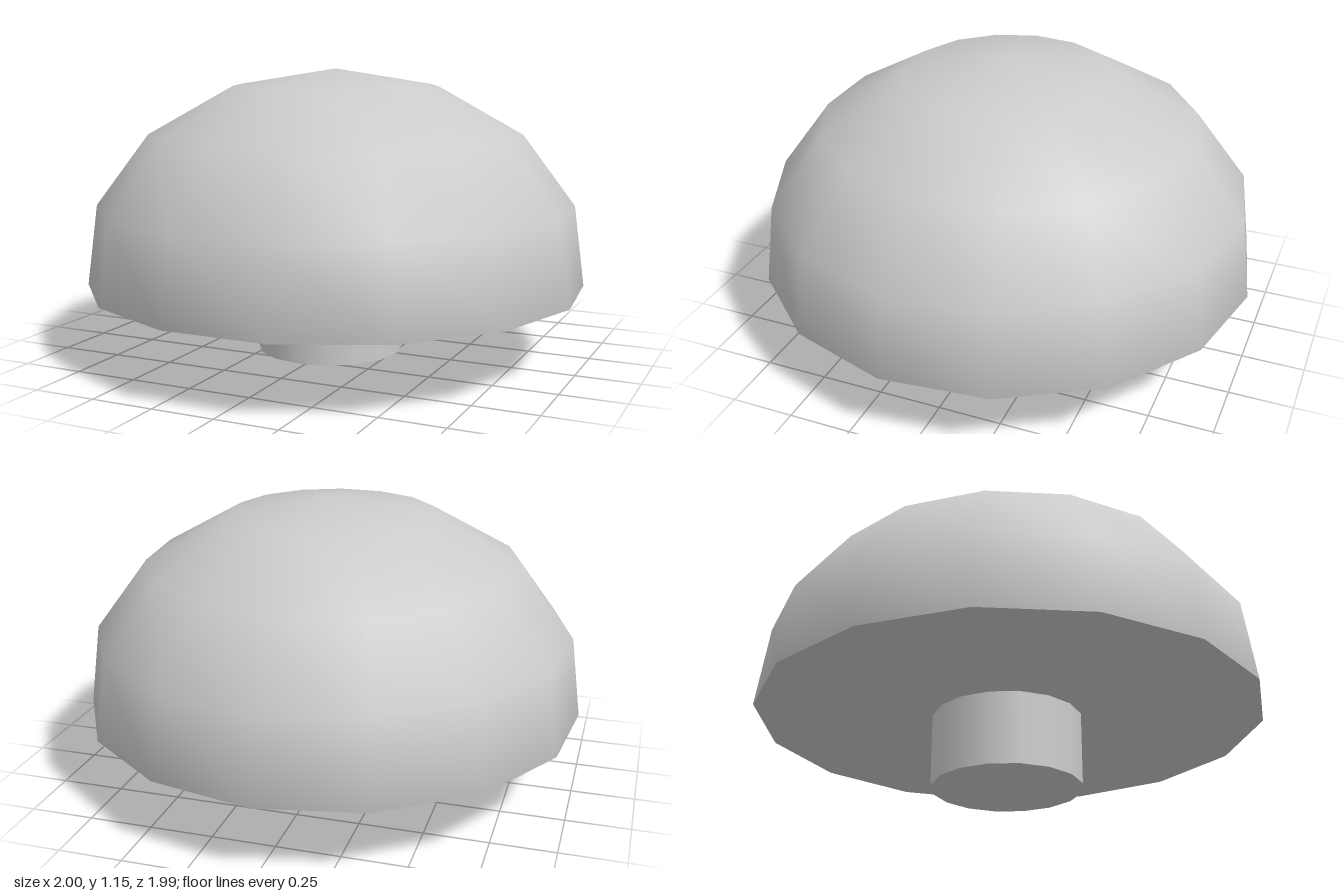
import * as THREE from 'three';

export function createModel() {
  const group = new THREE.Group();
  const material = new THREE.MeshStandardMaterial({ color: 0xcccccc });
  const add = (name, geometry, x, y, z) => {
    const mesh = new THREE.Mesh(geometry, material);
    mesh.name = name;
    mesh.position.set(x, y, z);
    group.add(mesh);
  };

  const sides = 15;
  const radius = 1.011;
  const height = 0.783; // vertical radius of the squashed dome
  const sweep = THREE.MathUtils.degToRad(96); // four rings of 24 degrees
  const top = 1.15;
  const rimY = top - height * (1 - Math.cos(sweep));
  const offsetZ = 0.011;

  // Domed cap, one corner pointing to the back
  const dome = new THREE.SphereGeometry(radius, sides, 4, -Math.PI / 2, Math.PI * 2, 0, sweep);
  dome.scale(1, height / radius, 1);
  add('domeCap', dome, 0, top - height, offsetZ);

  // Flat underside closing the dome
  const underside = new THREE.CircleGeometry(radius * Math.sin(sweep), sides, -Math.PI / 2);
  underside.rotateX(Math.PI / 2);
  add('underside', underside, 0, rimY, offsetZ);

  // Short stem, slightly off centre
  add('stem', new THREE.CylinderGeometry(0.297, 0.297, rimY, 16), -0.027, rimY / 2, 0.005);

  return group;
}
